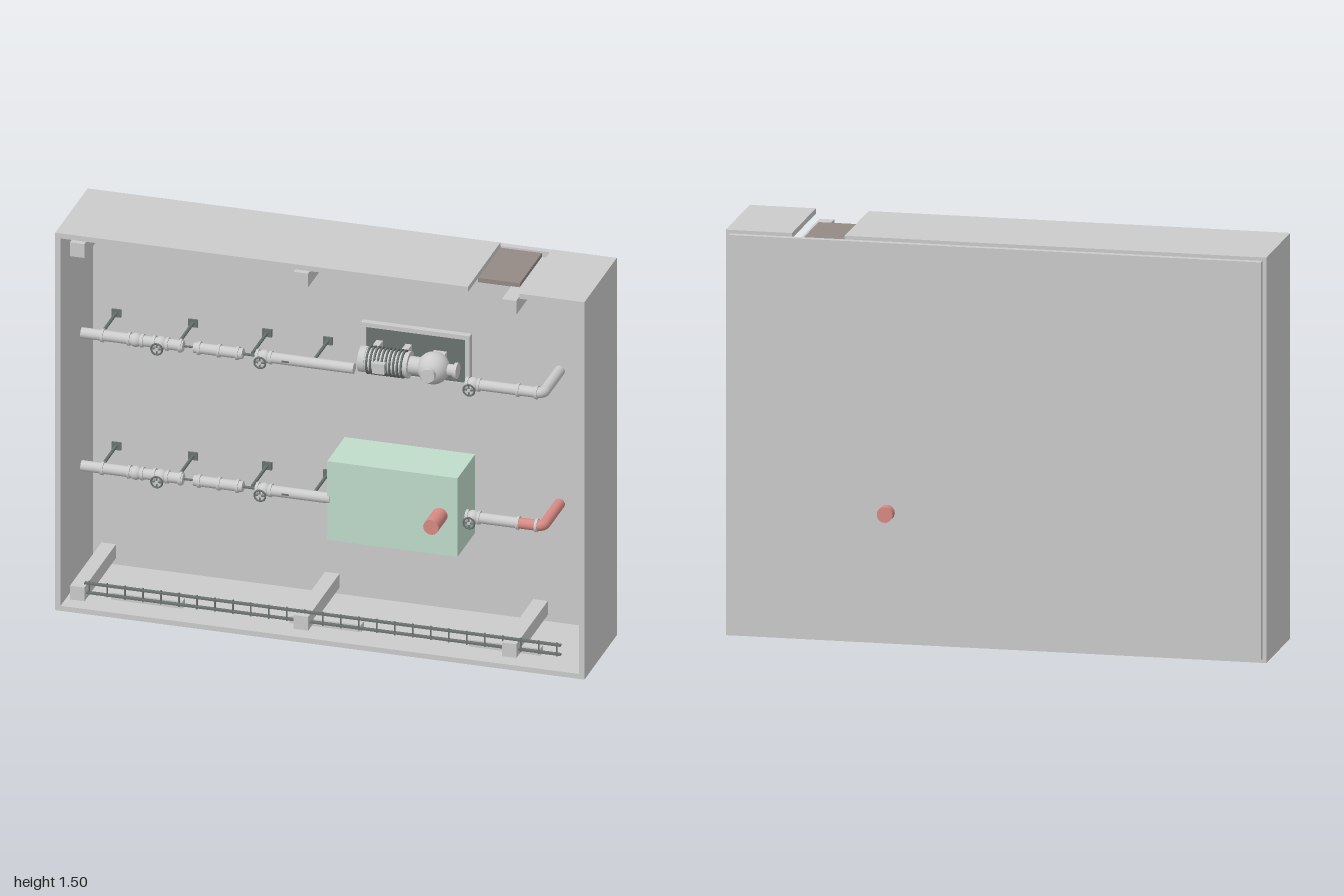
import * as THREE from 'three';

const mat = (color) => new THREE.MeshStandardMaterial({ color });
const GREY = mat(0xcccccc), DARK = mat(0x6a7270), GREEN = mat(0xc0dccb), RED = mat(0xd98a84), BROWN = mat(0x948a85);
const FLOOR = -0.165, PIPE_Z = 0.035;

export function createModel() {
  const root = new THREE.Group();

  const add = (parent, name, geo, m, x = 0, y = 0, z = 0) => {
    const mesh = new THREE.Mesh(geo, m);
    mesh.name = name;
    mesh.position.set(x, y, z);
    parent.add(mesh);
    return mesh;
  };
  // box given by its limits on each axis
  const box = (parent, name, x0, x1, y0, y1, z0, z1, m = GREY) =>
    add(parent, name, new THREE.BoxGeometry(x1 - x0, y1 - y0, z1 - z0), m, (x0 + x1) / 2, (y0 + y1) / 2, (z0 + z1) / 2);
  // cylinder along x or along z
  const cylX = (parent, name, r, x0, x1, y, z, m = GREY) => {
    const c = add(parent, name, new THREE.CylinderGeometry(r, r, x1 - x0, 24), m, (x0 + x1) / 2, y, z);
    c.rotation.z = Math.PI / 2;
    return c;
  };
  const cylZ = (parent, name, r, z0, z1, x, y, m = GREY) => {
    const c = add(parent, name, new THREE.CylinderGeometry(r, r, z1 - z0, 24), m, x, y, (z0 + z1) / 2);
    c.rotation.x = Math.PI / 2;
    return c;
  };

  // room shell: floor slab at the back, walls rising toward +z
  const shell = new THREE.Group();
  shell.name = 'roomShell';
  root.add(shell);
  box(shell, 'floorSlab', -0.985, 0.985, 0.015, 1.492, -0.19, FLOOR);
  box(shell, 'wallRight', -1, -0.98, 0, 1.505, FLOOR, 0.23);
  box(shell, 'wallLeft', 0.98, 1, 0, 1.505, FLOOR, 0.23);
  box(shell, 'wallBottom', -0.98, 0.98, 0, 0.02, FLOOR, 0.23);
  box(shell, 'wallTopLong', -0.98, 0.56, 1.485, 1.505, FLOOR, 0.23);
  box(shell, 'wallTopShort', 0.755, 0.98, 1.485, 1.505, FLOOR, 0.23);
  box(shell, 'door', 0.56, 0.717, 1.468, 1.485, FLOOR, 0.105, BROWN);
  box(shell, 'drainCover', -0.808, -0.752, 1.332, 1.388, FLOOR, FLOOR + 0.004, DARK);

  // columns and wall lamps
  for (const x of [-0.92, -0.075, 0.712])
    for (const y of [0.073, 1.442])
      box(shell, 'column', x - 0.0275, x + 0.0275, y - 0.0275, y + 0.0275, FLOOR, 0.22);
  for (const x of [-0.678, -0.003, 0.675])
    box(shell, 'wallPanel', x - 0.135, x + 0.135, 0.035, 0.063, 0.12, 0.155);

  // cable ladder
  const ladder = new THREE.Group();
  ladder.name = 'cableLadder';
  root.add(ladder);
  for (const y of [0.07, 0.107]) box(ladder, 'ladderRail', -0.9, 0.9, y - 0.003, y + 0.003, 0.186, 0.202, DARK);
  for (let i = 0; i < 27; i++) {
    const x = -0.884 + i * 0.068;
    box(ladder, 'ladderRung', x - 0.002, x + 0.002, 0.06, 0.115, 0.189, 0.195, DARK);
  }

  // two identical pipe runs; the lower one ends in a red outlet
  const pipeRun = (y, endX, outlet) => {
    const run = new THREE.Group();
    run.name = 'pipeRun';
    run.position.set(0, y, PIPE_Z);
    root.add(run);
    const pipe = (x0, x1, r = 0.02, m = GREY) => cylX(run, 'pipe', r, x0, x1, 0, 0, m);
    pipe(-0.96, -0.575);
    pipe(-0.575, -0.535, 0.004, DARK);
    pipe(-0.535, -0.35);
    pipe(-0.35, -0.295, 0.005, DARK);
    pipe(-0.295, endX);
    pipe(0.495, 0.69);
    pipe(0.69, 0.765, 0.02, outlet);

    // elbow and drop into the floor
    const bend = add(run, 'elbow', new THREE.TorusGeometry(0.022, 0.02, 16, 16, Math.PI / 2), outlet, 0.762, 0, -0.022);
    bend.rotation.x = Math.PI / 2;
    bend.scale.z = -1;
    bend.rotation.set(-Math.PI / 2, 0, 0);
    bend.scale.y = -1;
    cylZ(run, 'drop', 0.02, FLOOR - PIPE_Z, -0.02, 0.784, 0, outlet);

    // flange rings
    for (const x of [-0.88, -0.78, -0.73, -0.685, -0.635, -0.585, -0.515, -0.44, -0.37, -0.295, -0.245, 0.498, 0.542, 0.69, 0.76])
      cylX(run, 'flange', 0.025, x - 0.005, x + 0.005, 0, 0);
    add(run, 'checkValve', new THREE.SphereGeometry(0.026, 20, 14), GREY, -0.755, 0, 0);

    // gate valves with handwheels
    for (const x of [-0.66, -0.27, 0.52]) {
      add(run, 'valveBody', new THREE.SphereGeometry(0.026, 20, 14), GREY, x, 0, 0);
      cylZ(run, 'valveStem', 0.006, 0, 0.06, x, 0);
      add(run, 'handwheel', new THREE.TorusGeometry(0.021, 0.0035, 8, 24), DARK, x, 0, 0.056);
      for (const a of [0, Math.PI / 2])
        add(run, 'handwheelSpoke', new THREE.BoxGeometry(0.04, 0.004, 0.004), DARK, x, 0, 0.056).rotation.z = a;
    }

    // floor stands
    for (const x of [-0.89, -0.6, -0.32, -0.09]) {
      cylZ(run, 'standPost', 0.006, FLOOR - PIPE_Z, -0.015, x, 0, DARK);
      box(run, 'standFoot', x - 0.018, x + 0.018, -0.015, 0.015, FLOOR - PIPE_Z, FLOOR - PIPE_Z + 0.008, DARK);
    }
    box(run, 'flowMarker', -0.198, -0.17, -0.003, 0.003, 0.018, 0.022, DARK);
  };
  pipeRun(1.025, 0.07, GREY);
  pipeRun(0.495, -0.02, RED);

  // pump on a framed plinth
  const pump = new THREE.Group();
  pump.name = 'pump';
  root.add(pump);
  const frame = new THREE.Shape([[0.04, 0.92], [0.452, 0.92], [0.452, 1.127], [0.04, 1.127]].map(([x, y]) => new THREE.Vector2(x, y)));
  frame.holes.push(new THREE.Path([[0.06, 0.937], [0.06, 1.11], [0.435, 1.11], [0.435, 0.937]].map(([x, y]) => new THREE.Vector2(x, y))));
  add(pump, 'plinthFrame', new THREE.ExtrudeGeometry(frame, { depth: 0.025, bevelEnabled: false }), GREY, 0, 0, FLOOR);
  box(pump, 'basePlate', 0.06, 0.435, 0.937, 1.11, FLOOR, -0.145, DARK);
  const py = 1.022, pz = -0.06;
  cylX(pump, 'motorBody', 0.045, 0.07, 0.25, py, pz);
  cylX(pump, 'fanCover', 0.048, 0.065, 0.09, py, pz);
  cylX(pump, 'motorFlange', 0.05, 0.242, 0.252, py, pz);
  for (let i = 0; i < 10; i++) {
    const x = 0.1 + i * 0.0145;
    cylX(pump, 'coolingFin', 0.053, x - 0.003, x + 0.003, py, pz, DARK);
  }
  box(pump, 'terminalBox', 0.13, 0.175, py - 0.02, py + 0.02, pz, 0.01);
  for (const x of [0.11, 0.22]) box(pump, 'motorFoot', x - 0.012, x + 0.012, py - 0.04, py + 0.04, -0.145, pz);
  cylX(pump, 'coupling', 0.033, 0.25, 0.3, py, pz);
  add(pump, 'volute', new THREE.SphereGeometry(0.06, 28, 18), GREY, 0.34, py, pz);
  box(pump, 'voluteFoot', 0.315, 0.365, py - 0.03, py + 0.03, -0.145, pz);
  cylZ(pump, 'dischargeNozzle', 0.026, pz, 0.015, 0.34, py);
  cylX(pump, 'suctionNozzle', 0.022, 0.34, 0.43, py, pz);
  cylX(pump, 'suctionFlange', 0.03, 0.42, 0.432, py, pz);

  // equipment cabinet with its vertical vent pipe
  box(root, 'cabinet', -0.028, 0.465, 0.335, 0.648, FLOOR, 0.05, GREEN);
  cylZ(root, 'ventPipe', 0.029, -0.23, 0.16, 0.398, 0.492, RED);

  return root;
}
